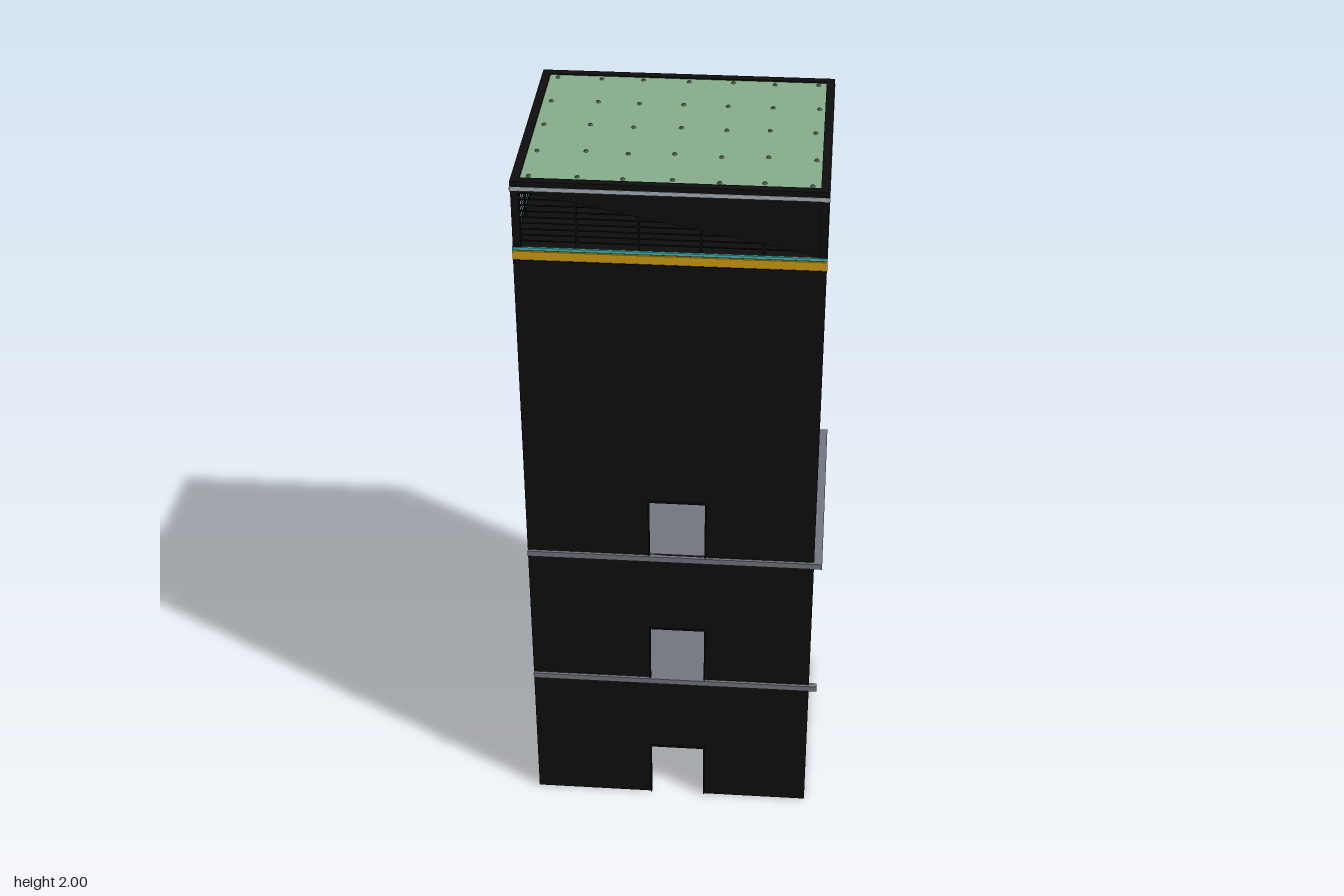
import * as THREE from 'three';

const mat = (name, color, side = THREE.FrontSide) => {
  const m = new THREE.MeshStandardMaterial({ color, side });
  m.name = name;
  return m;
};

export function createModel() {
  const black = mat('black cladding', 0x0e0e0e, THREE.DoubleSide);
  const grey = mat('grey concrete', 0x72757f);
  const pale = mat('pale trim', 0xa9b4bc);
  const yellow = mat('yellow band', 0xd2a012);
  const teal = mat('teal accent', 0x45b5b0);
  const green = mat('roof green', 0x86ad8a);
  const stud = mat('dark green stud', 0x4f6852);

  const model = new THREE.Group();
  model.name = 'tower';
  const X0 = -0.4, X1 = 0.383, Z0 = -0.325, Z1 = 0.325;

  // Box given by its bounds
  const box = (name, m, x0, x1, y0, y1, z0, z1, parent = model) => {
    const mesh = new THREE.Mesh(new THREE.BoxGeometry(x1 - x0, y1 - y0, z1 - z0), m);
    mesh.position.set((x0 + x1) / 2, (y0 + y1) / 2, (z0 + z1) / 2);
    mesh.name = name;
    parent.add(mesh);
    return mesh;
  };
  // Four boxes around the plan; out = overhang, t = thickness
  const ring = (name, m, y0, y1, out, t) => {
    const g = new THREE.Group();
    g.name = name;
    const a = X0 - out, b = X1 + out, c = Z0 - out, d = Z1 + out;
    box(name + 'Front', m, a, b, y0, y1, d - t, d, g);
    box(name + 'Back', m, a, b, y0, y1, c, c + t, g);
    box(name + 'Left', m, b - t, b, y0, y1, c + t, d - t, g);
    box(name + 'Right', m, a, a + t, y0, y1, c + t, d - t, g);
    model.add(g);
  };

  // Shell: open at the bottom, front wall with three doorways
  const T = 0.008, H = 1.78, DX0 = -0.065, DX1 = 0.085, DH = 0.178;
  const wall = new THREE.Shape();
  [[X0, 0], [DX0, 0], [DX0, DH], [DX1, DH], [DX1, 0], [X1, 0], [X1, H], [X0, H]]
    .forEach(([x, y], i) => (i ? wall.lineTo(x, y) : wall.moveTo(x, y)));
  const floors = [0.439, 0.874];
  for (const y of floors) {
    const hole = new THREE.Path();
    hole.moveTo(DX0, y);
    hole.lineTo(DX0, y + DH);
    hole.lineTo(DX1, y + DH);
    hole.lineTo(DX1, y);
    wall.holes.push(hole);
  }
  const front = new THREE.Mesh(new THREE.ExtrudeGeometry(wall, { depth: T, bevelEnabled: false }), black);
  front.position.z = Z1 - T;
  front.name = 'frontWall';
  model.add(front);
  box('backWall', black, X0, X1, 0, H, Z0, Z0 + T);
  box('leftWall', black, X1 - T, X1, 0, H, Z0 + T, Z1 - T);
  box('rightWall', black, X0, X0 + T, 0, H, Z0 + T, Z1 - T);

  // Slim door frames
  for (const y of [0, ...floors]) {
    box('doorJamb', black, DX0 - 0.004, DX0, y, y + DH, Z1, Z1 + 0.004);
    box('doorJamb', black, DX1, DX1 + 0.004, y, y + DH, Z1, Z1 + 0.004);
    box('doorHead', black, DX0 - 0.004, DX1 + 0.004, y + DH, y + DH + 0.004, Z1, Z1 + 0.004);
  }

  // Floor slabs, with front ledges; the upper one also shows along the left side
  box('lowerFloor', grey, X0 + T, X1 - T, 0.422, 0.439, Z0 + T, Z1 - T);
  box('lowerLedge', grey, X0, 0.405, 0.422, 0.439, Z1 - T, 0.333);
  box('upperFloor', grey, X0 + T, 0.405, 0.857, 0.874, Z0 + T, Z1 - T);
  box('upperLedge', grey, X0, 0.405, 0.857, 0.874, Z1 - T, 0.333);
  box('upperLedgeEnd', grey, X1, 0.405, 0.857, 0.874, Z0, Z0 + T);

  // Small lights on the back wall
  for (const [y, xs] of [[0.88, [0.14, -0.1, -0.25, -0.345]], [0.44, [0.355, 0.11, -0.157, -0.376]]])
    for (const x of xs) box('backLight', teal, x - 0.003, x + 0.003, y - 0.003, y + 0.003, Z0 - 0.002, Z0);

  // Deck with its coloured bands
  box('deck', black, X0 + 0.004, X1 - 0.004, H, 1.815, Z0 + 0.004, Z1 - 0.004);
  ring('yellowBand', yellow, 1.782, 1.806, 0.001, 0.008);
  ring('tealBand', teal, 1.809, 1.817, 0.001, 0.006);

  // Posts and rails of the open storey
  const post = (x, z, w) => box('post', black, x - w, x + w, 1.815, 1.974, z - w, z + w);
  const xs = [-0.24, -0.085, 0.07, 0.225], zs = [-0.16, 0, 0.16];
  for (const z of [Z0 + 0.01, Z1 - 0.01]) {
    for (const x of xs) post(x, z, 0.003);
    for (const x of [X0 + 0.011, X1 - 0.011]) post(x, z, 0.01);
  }
  for (const x of [X0 + 0.01, X1 - 0.01]) for (const z of zs) post(x, z, 0.003);
  for (let i = 0; i < 9; i++) {
    const y = 1.83 + i * 0.0165;
    ring('rail', black, y, y + 0.003, -0.008, 0.003);
  }

  // Triangular screen on the front of the open storey
  const tri = new THREE.Shape([[X0 + 0.01, 1.974], [X1, 1.815], [X1, 1.974]].map(([x, y]) => new THREE.Vector2(x, y)));
  const screen = new THREE.Mesh(new THREE.ShapeGeometry(tri), black);
  screen.position.z = Z1 - 0.004;
  screen.name = 'frontScreen';
  model.add(screen);

  // Roof: slab, pale trim, raised rim and green surface
  box('roofSlab', black, X0 + 0.002, X1 - 0.002, 1.973, 1.993, Z0 + 0.002, Z1 - 0.002);
  ring('roofTrim', pale, 1.974, 1.985, 0.001, 0.006);
  ring('roofRim', black, 1.985, 2, 0, 0.022);
  box('roofSurface', green, X0 + 0.022, X1 - 0.022, 1.993, 1.996, Z0 + 0.022, Z1 - 0.022);

  // Studs in a slightly irregular grid
  const studGeo = new THREE.CylinderGeometry(0.004, 0.006, 0.004, 10);
  [-0.285, -0.142, -0.004, 0.146, 0.285].forEach((z, j) =>
    [-0.356, -0.235, -0.125, -0.006, 0.111, 0.225, 0.343].forEach((x, i) => {
      const s = new THREE.Mesh(studGeo, stud);
      s.position.set(x + 0.003 * Math.sin(i * 5 + j * 3), 1.998, z + 0.004 * Math.sin(i * 3 + j * 7));
      s.name = 'roofStud';
      model.add(s);
    }));

  // Fringe of pegs under the roof, at the back and the right side
  for (let i = 0; i < 27; i++) {
    const x = -0.383 + i * 0.0286;
    box('backPeg', teal, x - 0.002, x + 0.002, 1.962, 1.972, Z0 - 0.007, Z0 + 0.004);
  }
  for (let i = 0; i < 22; i++) {
    const z = -0.305 + i * 0.029;
    box('sidePeg', teal, X0 - 0.005, X0 + 0.004, 1.962, 1.972, z - 0.002, z + 0.002);
  }
  return model;
}
